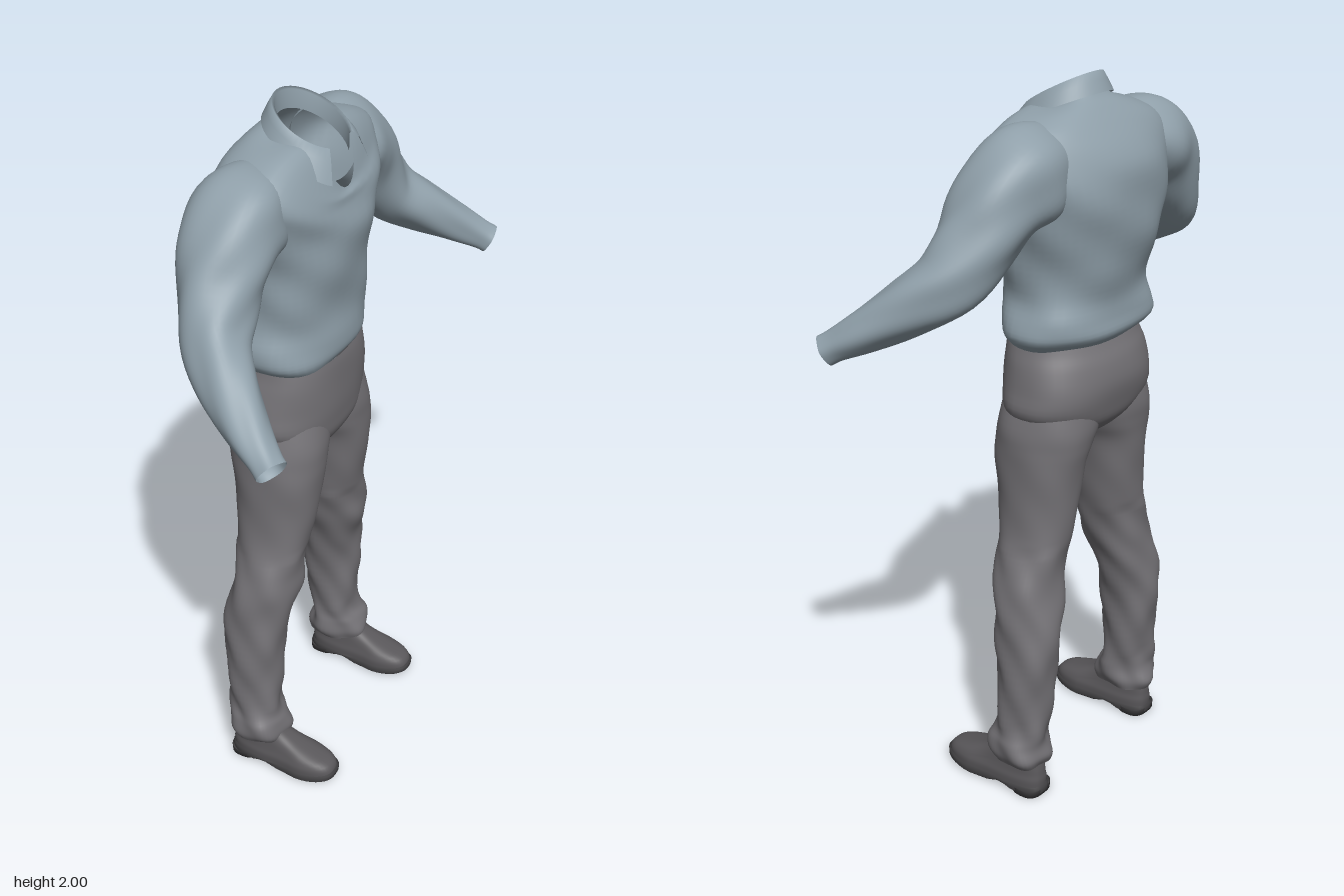
import * as THREE from 'three';

const paint = (name, color) => {
  const m = new THREE.MeshStandardMaterial({ color, side: THREE.DoubleSide });
  m.name = name;
  return m;
};
const shirt = paint('shirt blue grey', 0x8f9fa9);
const cloth = paint('trouser grey', 0x747276);
const leather = paint('shoe grey', 0x5a585b);
const rubber = paint('sole dark grey', 0x424143);

// Skin over rings of points; closed rings wrap round
function loft(name, rings, material, closed = true) {
  const n = rings[0].length, pos = [], idx = [];
  rings.forEach(r => r.forEach(p => pos.push(p.x, p.y, p.z)));
  for (let i = 0; i < rings.length - 1; i++)
    for (let j = 0; j < (closed ? n : n - 1); j++) {
      const k = (j + 1) % n, a = i * n + j, b = i * n + k;
      idx.push(a, a + n, b, b, a + n, b + n);
    }
  const g = new THREE.BufferGeometry();
  g.setAttribute('position', new THREE.Float32BufferAttribute(pos, 3));
  g.setIndex(idx);
  g.computeVertexNormals();
  const mesh = new THREE.Mesh(g, material);
  mesh.name = name;
  return mesh;
}

// Smoothly add rows between the rows of a section table
function refine(rows, steps) {
  const out = [], last = rows.length - 1;
  for (let i = 0; i < last; i++)
    for (let s = 0; s < steps; s++) {
      const t = s / steps, a = rows[Math.max(i - 1, 0)], b = rows[i], c = rows[i + 1], d = rows[Math.min(i + 2, last)];
      out.push(b.map((v, k) => {
        const cubic = 3 * (v - c[k]) + d[k] - a[k];
        const square = 2 * a[k] - 5 * v + 4 * c[k] - d[k];
        return v + 0.5 * t * (c[k] - a[k] + t * (square + t * cubic));
      }));
    }
  out.push(rows[last]);
  return out;
}

const N = 48;
const spow = (v, e) => Math.sign(v) * Math.abs(v) ** e;
const around = fn => Array.from({ length: N }, (_, j) => fn(j / N * Math.PI * 2));
const fold = (a, y, seed) => 0.5 * Math.sin(3 * a + 23 * y + seed) + 0.5 * Math.sin(5 * a - 37 * y + 2 * seed);

// Level oval ring between x0..x1 and z0..z1
function oval(y, x0, x1, z0, z1, e = 0.85, crease = 0, seed = 0) {
  return around(a => {
    const f = crease * fold(a, y, seed), c = Math.cos(a), s = Math.sin(a);
    return new THREE.Vector3((x0 + x1) / 2 + (x1 - x0) / 2 * spow(c, e) + f * c, y,
      (z0 + z1) / 2 + (z1 - z0) / 2 * spow(s, e) + f * s);
  });
}

// Shirt body: side y, front y, back y, front x, back x, half width
function shirtBody() {
  const rows = [
    [1.31, 1.32, 1.31, 0.088, -0.165, 0.2],
    [1.345, 1.345, 1.345, 0.1, -0.205, 0.236],
    [1.39, 1.39, 1.39, 0.1, -0.205, 0.236],
    [1.45, 1.45, 1.45, 0.1, -0.2, 0.218],
    [1.53, 1.53, 1.53, 0.108, -0.218, 0.222],
    [1.61, 1.61, 1.61, 0.115, -0.237, 0.235],
    [1.69, 1.68, 1.69, 0.119, -0.243, 0.258],
    [1.77, 1.73, 1.77, 0.116, -0.234, 0.285],
    [1.825, 1.758, 1.83, 0.108, -0.21, 0.295],
    [1.87, 1.772, 1.88, 0.1, -0.178, 0.27],
    [1.903, 1.779, 1.915, 0.095, -0.147, 0.2],
    [1.918, 1.783, 1.938, 0.092, -0.122, 0.135],
    [1.92, 1.787, 1.955, 0.09, -0.108, 0.1]];
  const all = refine(rows, 4);
  const rings = all.map(([ys, yf, yb, xf, xb, hz], i) => around(a => {
    const c = Math.cos(a), s = Math.sin(a);
    const f = 0.006 * fold(a, ys, 1) * Math.min(1, (all.length - 1 - i) / 12);
    const y = ys + (c > 0 ? yf - ys : yb - ys) * Math.abs(c) ** 2.5;
    return new THREE.Vector3((xf + xb) / 2 + (xf - xb) / 2 * spow(c, 0.85) + f * c, y, hz * spow(s, 0.88) + f * s);
  }));
  return loft('shirtBody', rings, shirt);
}

// Turned-down collar, open at the throat, from the outer hem over to the inside
function collar() {
  const gap = 0.62;
  const rows = [4, 3, 2, 1, 0].map(k => Array.from({ length: 41 }, (_, j) => {
    const a = gap + (2 * Math.PI - 2 * gap) * j / 40, c = Math.cos(a), s = Math.sin(a);
    const front = Math.max(0, c), top = 1.948 - 0.052 * c;
    const out = [-0.004, -0.003, 0.004, 0.016 + 0.012 * front, 0.03 + 0.025 * front][k];
    const drop = [0.055, 0.006, 0.001, 0.022, 0.05 + 0.035 * front][k];
    return new THREE.Vector3(-0.008 + (0.093 + out * (c > 0 ? 0.7 : 1)) * c, top - drop,
      (0.098 + out * (1 + 0.4 * front)) * s);
  }));
  return loft('collar', rows, shirt, false);
}

// Sleeve: x, y, z, radius along the arm
function sleeve(side) {
  const rows = refine([
    [-0.07, 1.8, 0.17, 0.1], [-0.07, 1.778, 0.25, 0.126], [-0.062, 1.73, 0.325, 0.116],
    [-0.05, 1.645, 0.395, 0.1], [-0.02, 1.56, 0.465, 0.086], [0.05, 1.5, 0.53, 0.073],
    [0.14, 1.435, 0.597, 0.054], [0.2, 1.397, 0.632, 0.041], [0.225, 1.381, 0.645, 0.04]], 5);
  const pts = rows.map(r => new THREE.Vector3(r[0], r[1], r[2] * side));
  const rings = rows.map((r, i) => {
    const t = pts[Math.min(i + 1, pts.length - 1)].clone().sub(pts[Math.max(i - 1, 0)]).normalize();
    const u = new THREE.Vector3(1, 0, 0).addScaledVector(t, -t.x).normalize();
    const v = u.clone().cross(t);
    return around(a => {
      const q = r[3] * (1 + 0.06 * fold(a, r[1], side));
      return pts[i].clone().addScaledVector(u, q * Math.cos(a)).addScaledVector(v, q * Math.sin(a));
    });
  });
  return loft(side > 0 ? 'leftSleeve' : 'rightSleeve', rings, shirt);
}

// Trouser leg: y, back x, front x, inner z, outer z
function leg(side) {
  const rows = refine([
    [0.095, -0.135, 0.03, 0.19, 0.318], [0.125, -0.146, 0.04, 0.178, 0.336], [0.165, -0.132, 0.03, 0.18, 0.338],
    [0.21, -0.135, 0.012, 0.183, 0.325], [0.32, -0.146, 0.012, 0.175, 0.322], [0.44, -0.158, 0.02, 0.165, 0.32],
    [0.54, -0.155, 0.028, 0.142, 0.314], [0.63, -0.141, 0.05, 0.112, 0.303], [0.7, -0.136, 0.052, 0.095, 0.282],
    [0.78, -0.143, 0.06, 0.077, 0.256], [0.88, -0.153, 0.076, 0.057, 0.246], [0.98, -0.164, 0.088, 0.036, 0.247],
    [1.04, -0.174, 0.09, 0.008, 0.246], [1.1, -0.18, 0.088, -0.01, 0.24], [1.2, -0.17, 0.07, -0.01, 0.21]], 5);
  const rings = rows.map(([y, x0, x1, zi, zo]) => {
    const crease = y < 0.24 ? 0.009 : y < 0.75 ? 0.006 : 0.002;
    const [z0, z1] = side > 0 ? [zi, zo] : [-zo, -zi];
    return oval(y, x0, x1, z0, z1, 0.9, crease, side);
  });
  return loft(side > 0 ? 'leftTrouserLeg' : 'rightTrouserLeg', rings, cloth);
}

// Shoe with upper, sole and heel
function shoe(side) {
  const g = new THREE.Group(), zc = 0.258 * side;
  g.name = side > 0 ? 'leftShoe' : 'rightShoe';
  const ring = (y, x0, x1, w) => {
    const r = oval(y, x0, x1, -w, w, 0.72);
    r.forEach(p => { // narrow the heel and waist of the foot
      p.z = zc + p.z * (0.86 + 0.14 * THREE.MathUtils.clamp((p.x - 0.05) / 0.05, 0, 1));
    });
    return r;
  };
  const spring = (r, lift) => { // raise the arch and the toe tip
    r.forEach(p => {
      p.y += lift * Math.exp(-(((p.x + 0.015) / 0.03) ** 2)) + 0.012 * Math.max(0, (p.x - 0.1) / 0.1) ** 2;
    });
    return r;
  };
  const upper = refine([[0.022, -0.132, 0.198, 0.061], [0.045, -0.134, 0.196, 0.062], [0.063, -0.132, 0.178, 0.057],
    [0.08, -0.13, 0.125, 0.053], [0.1, -0.126, 0.07, 0.05], [0.125, -0.122, 0.03, 0.047], [0.16, -0.118, 0.01, 0.045]], 3);
  g.add(loft('shoeUpper', upper.map(r => ring(...r)), leather));
  g.add(loft('sole', [
    spring(ring(0.003, 0.03, 0.032, 0.001), 0.015), spring(ring(0.003, -0.134, 0.197, 0.062), 0.015),
    spring(ring(0.008, -0.138, 0.203, 0.066), 0.013), spring(ring(0.024, -0.138, 0.204, 0.066), 0.003),
    spring(ring(0.028, -0.13, 0.195, 0.058), 0)], rubber));
  const heel = [[0, -0.09, -0.089, 0.001], [0, -0.136, -0.045, 0.06], [0.02, -0.137, -0.043, 0.062]];
  g.add(loft('heel', heel.map(r => ring(...r)), rubber));
  return g;
}

// Seat and waist of the trousers: y, back x, front x, half width
function trouserSeat() {
  const rows = refine([[1.02, -0.06, 0.01, 0.02], [1.045, -0.125, 0.06, 0.09], [1.09, -0.175, 0.088, 0.19],
    [1.14, -0.195, 0.093, 0.238], [1.2, -0.205, 0.097, 0.234], [1.26, -0.195, 0.098, 0.222],
    [1.3, -0.178, 0.096, 0.21], [1.325, -0.168, 0.092, 0.204]], 4);
  return loft('trouserSeat', rows.map(([y, x0, x1, w]) => oval(y, x0, x1, -w, w, 0.84, 0.002)), cloth);
}

export function createModel() {
  const model = new THREE.Group();
  model.name = 'clothedFigure';
  model.add(shirtBody(), collar(), trouserSeat());
  for (const side of [1, -1]) model.add(sleeve(side), leg(side), shoe(side));
  return model;
}
